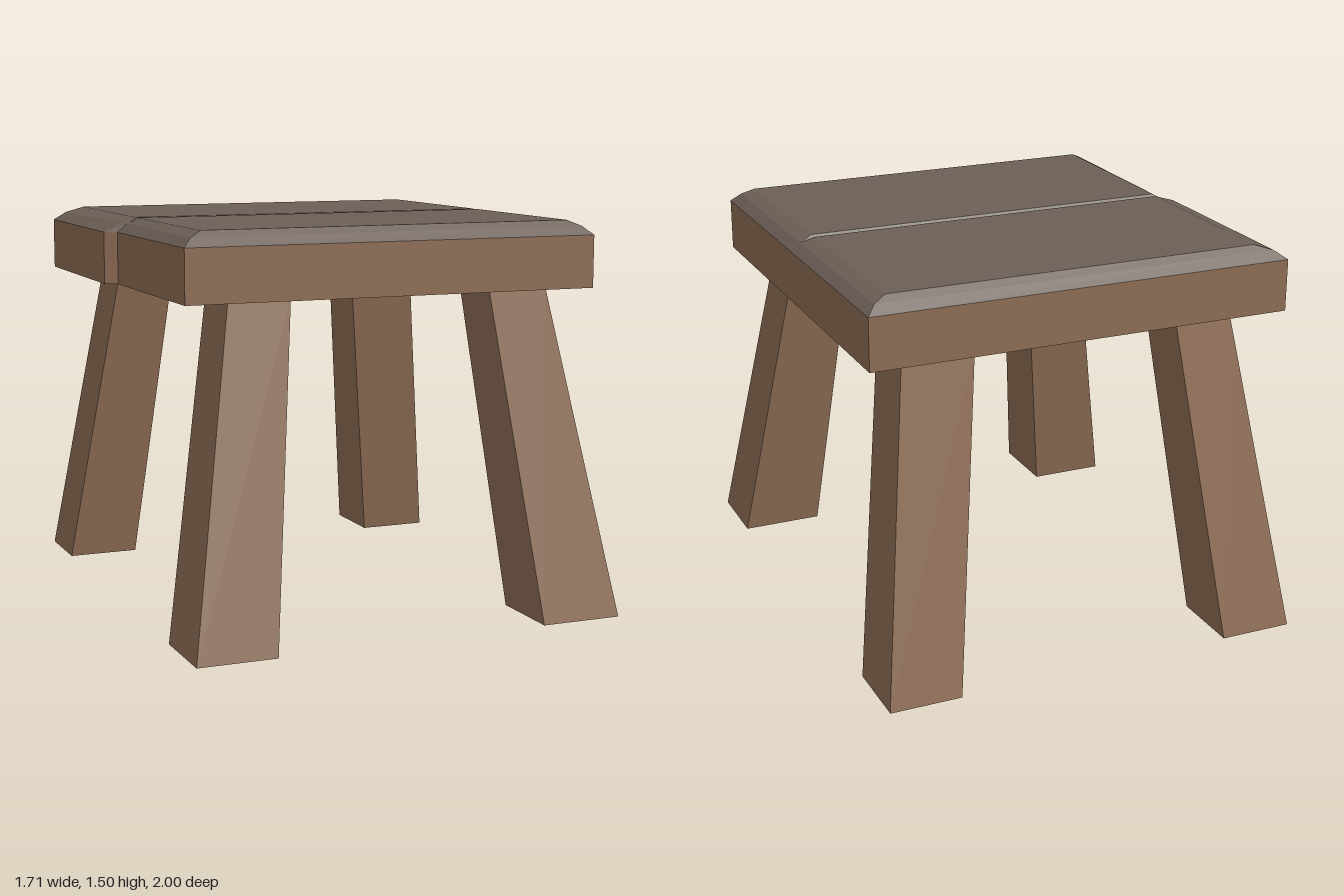
import * as THREE from 'three';

const wood = new THREE.MeshStandardMaterial({ color: 0x8b6b53 });
wood.name = 'brown wood';
const topWood = new THREE.MeshStandardMaterial({ color: 0x6c5f56 });
topWood.name = 'grey brown seat top';

// Flat-faced solid through rings of [x, y, z], counterclockwise from above, listed upwards.
// openJoint leaves out the last side of the lowest band, where two planks touch.
function loft(name, rings, material, { bottom = true, top = true, openJoint = false } = {}) {
  const pos = [];
  const tri = (a, b, c) => pos.push(...a, ...b, ...c);
  const n = rings[0].length;
  for (let r = 0; r < rings.length - 1; r++) {
    const lo = rings[r], hi = rings[r + 1];
    for (let i = 0; i < n; i++) {
      if (openJoint && r === 0 && i === n - 1) continue;
      const j = (i + 1) % n;
      tri(lo[i], lo[j], hi[j]);
      tri(lo[i], hi[j], hi[i]);
    }
  }
  const first = rings[0], last = rings[rings.length - 1];
  for (let i = 1; i < n - 1; i++) {
    if (bottom) tri(first[0], first[i + 1], first[i]);
    if (top) tri(last[0], last[i], last[i + 1]);
  }
  const geometry = new THREE.BufferGeometry();
  geometry.setAttribute('position', new THREE.Float32BufferAttribute(pos, 3));
  geometry.computeVertexNormals();
  const mesh = new THREE.Mesh(geometry, material);
  mesh.name = name;
  return mesh;
}

const atHeight = (y, points) => points.map(([x, z]) => [x, y, z]);
const rect = (y, x0, x1, z0, z1) => atHeight(y, [[x0, z0], [x0, z1], [x1, z1], [x1, z0]]);

export function createModel() {
  const model = new THREE.Group();
  model.name = 'stool';

  // Seat slab, with the back plank sticking out a little on one side
  const outline = [[-0.81, 0], [-0.81, 0.81], [0.815, 0.81], [0.815, 0],
    [0.815, -0.83], [-0.845, -0.83], [-0.855, -0.03]];
  model.add(loft('seatSides', [atHeight(1.24, outline), atHeight(1.44, outline)], wood, { top: false }));

  // Bevelled plank tops that meet in a shallow groove
  const plank = { bottom: false, openJoint: true };
  model.add(loft('frontPlankTop', [
    atHeight(1.44, [[-0.81, 0], [-0.81, 0.81], [0.815, 0.81], [0.815, 0]]),
    atHeight(1.473, [[-0.77, 0], [-0.775, 0.775], [0.78, 0.775], [0.78, 0]]),
    atHeight(1.495, [[-0.73, 0.018], [-0.73, 0.75], [0.73, 0.75], [0.73, 0.018]]),
  ], topWood, plank));
  model.add(loft('backPlankTop', [
    atHeight(1.44, [[0.815, 0], [0.815, -0.83], [-0.845, -0.83], [-0.855, -0.03], [-0.81, 0]]),
    atHeight(1.473, [[0.78, 0], [0.78, -0.795], [-0.8, -0.795], [-0.8, -0.03], [-0.77, 0]]),
    atHeight(1.495, [[0.73, -0.018], [0.73, -0.77], [-0.73, -0.77], [-0.73, -0.035], [-0.72, -0.018]]),
  ], topWood, plank));

  // Splayed legs: foot and top extents as [x0, x1, z0, z1]
  const legs = {
    frontLeftLeg: [[0.53, 0.85, 0.69, 0.995], [0.42, 0.66, 0.475, 0.72]],
    frontRightLeg: [[-0.845, -0.54, 0.69, 1], [-0.62, -0.38, 0.475, 0.72]],
    backLeftLeg: [[0.55, 0.83, -1, -0.71], [0.38, 0.66, -0.73, -0.485]],
    backRightLeg: [[-0.83, -0.545, -1, -0.71], [-0.66, -0.43, -0.73, -0.485]],
  };
  for (const [name, [foot, head]] of Object.entries(legs)) {
    model.add(loft(name, [rect(0, ...foot), rect(1.24, ...head)], wood, { top: false }));
  }
  return model;
}
